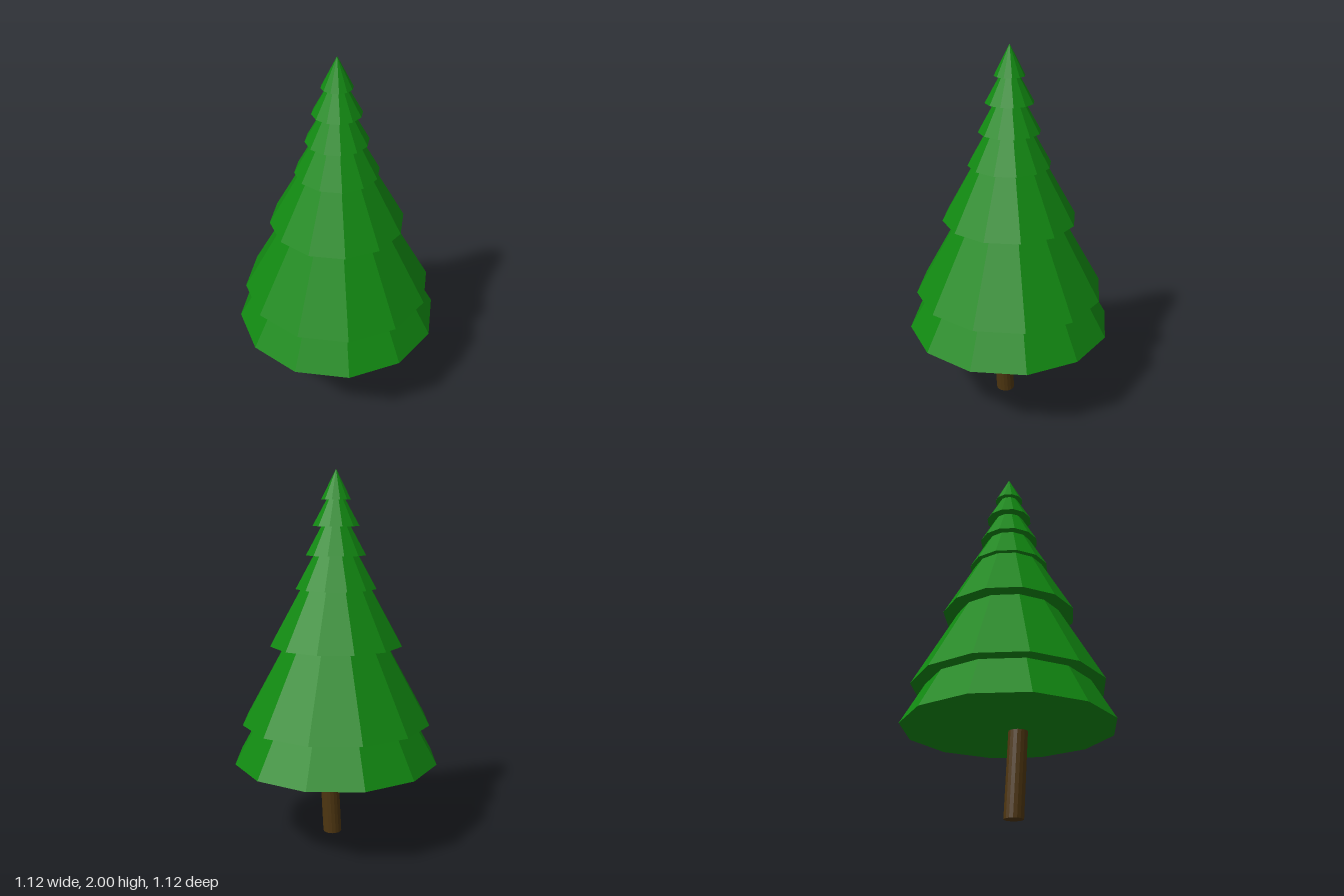
import * as THREE from 'three';

export function createModel() {
  const tree = new THREE.Group();
  tree.name = 'pineTree';
  const foliage = new THREE.MeshStandardMaterial({ color: 0x118811, flatShading: true });
  const bark = new THREE.MeshStandardMaterial({ color: 0x4d3510, flatShading: true });

  // Foliage tiers: [base height, base radius, cone height]
  const tiers = [
    [0.45, 0.56, 0.99],
    [0.665, 0.515, 0.92],
    [1.085, 0.36, 0.64],
    [1.385, 0.22, 0.39],
    [1.56, 0.163, 0.29],
    [1.71, 0.127, 0.225],
    [1.845, 0.08, 0.155],
  ];
  tiers.forEach(([y, radius, height], i) => {
    const cone = new THREE.Mesh(new THREE.ConeGeometry(radius, height, 12), foliage);
    cone.name = `foliageTier${i + 1}`;
    cone.position.y = y + height / 2;
    tree.add(cone);
  });

  // Trunk: level rings shifted sideways with height, giving a gentle lean
  const height = 0.5;
  const geometry = new THREE.CylinderGeometry(0.051, 0.051, height, 16, 5);
  geometry.translate(0, height / 2, 0);
  const pos = geometry.attributes.position;
  for (let i = 0; i < pos.count; i++) {
    const y = pos.getY(i);
    pos.setX(i, pos.getX(i) + 0.03 + 0.07 * y);
  }
  geometry.computeVertexNormals();
  const trunk = new THREE.Mesh(geometry, bark);
  trunk.name = 'trunk';
  tree.add(trunk);

  return tree;
}
